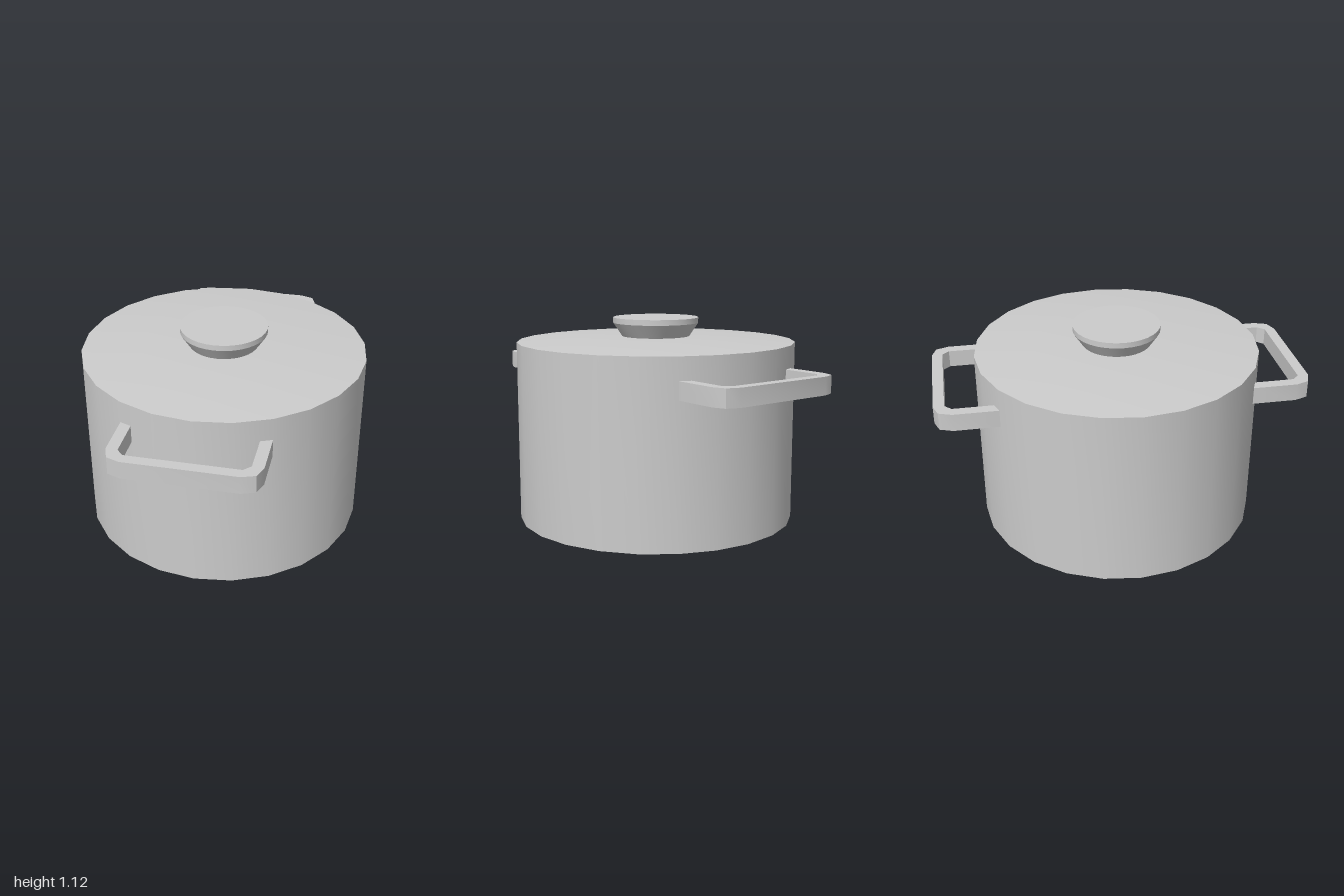
import * as THREE from 'three';
import { toCreasedNormals } from 'three/addons/utils/BufferGeometryUtils.js';

export function createModel() {
  const model = new THREE.Group();
  model.name = 'cookingPot';
  const material = new THREE.MeshStandardMaterial({ color: 0xcccccc });

  const add = (name, geometry) => {
    const mesh = new THREE.Mesh(toCreasedNormals(geometry, 0.5), material);
    mesh.name = name;
    model.add(mesh);
    return mesh;
  };

  // Round part from a [radius, height] profile, listed bottom to top
  const turned = (name, profile, sides) =>
    add(name, new THREE.LatheGeometry(profile.map(([r, y]) => new THREE.Vector2(r, y)), sides));

  // Pot body, closed at the bottom
  turned('body', [[0, 0], [0.77, 0], [0.77, 0.99]], 24);

  // Shallow lid with a flat centre
  turned('lid', [[0.77, 0.99], [0.45, 1.015], [0, 1.017]], 24);

  // Flared knob with a short rim
  turned('knob', [[0.185, 1.012], [0.237, 1.09], [0.237, 1.12], [0, 1.12]], 32);

  // Loop handles: a flat U outline with cut corners, extruded upwards
  const half = [
    [0.385, 0.668], [0.385, 0.905], [0.36, 0.975], [0.29, 1],
  ];
  const innerHalf = [[0.29, 0.942], [0.325, 0.905], [0.325, 0.668]];
  const mirrored = (points) => points.map(([x, z]) => [-x, z]).reverse();
  const outline = [...half, ...mirrored(half), ...mirrored(innerHalf), ...innerHalf];
  const shape = new THREE.Shape(outline.map(([x, z]) => new THREE.Vector2(x, z)));

  for (const [name, turn] of [['frontHandle', 0], ['backHandle', Math.PI]]) {
    const geometry = new THREE.ExtrudeGeometry(shape, { depth: 0.095, bevelEnabled: false });
    geometry.rotateX(Math.PI / 2); // outline y becomes +z, depth runs down
    geometry.translate(0, 0.87, 0);
    geometry.rotateY(turn);
    add(name, geometry);
  }

  return model;
}
